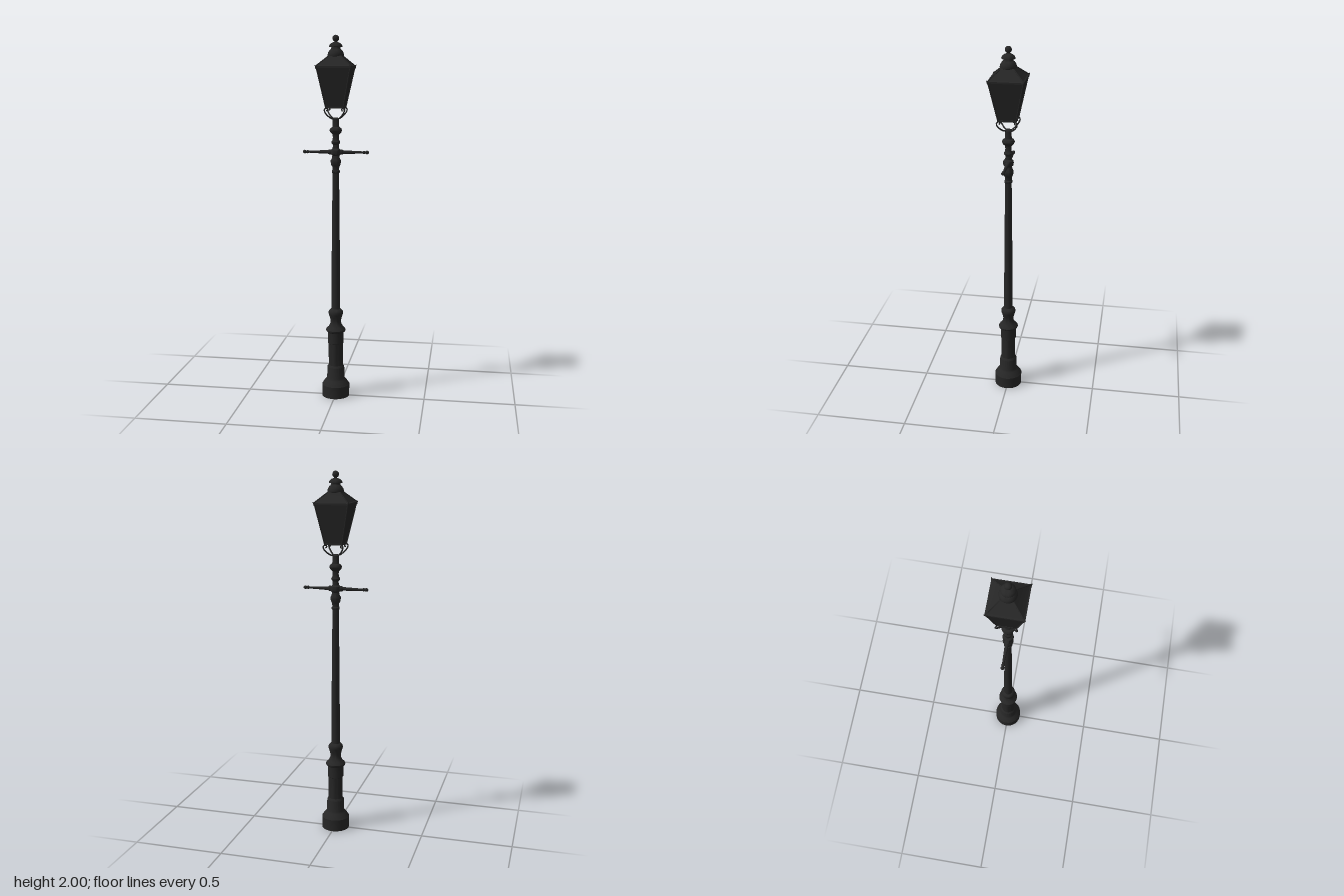
import * as THREE from 'three';
import { toCreasedNormals } from 'three/addons/utils/BufferGeometryUtils.js';

export function createModel() {
  const model = new THREE.Group();
  const iron = new THREE.MeshStandardMaterial({ color: 0x262626, side: THREE.DoubleSide });
  iron.name = 'blackIron';

  function add(name, geometry, parent = model) {
    const mesh = new THREE.Mesh(geometry, iron);
    mesh.name = name;
    parent.add(mesh);
    return mesh;
  }
  // Turned part from [radius, height] pairs
  function turned(points, segments = 24) {
    const profile = points.map(([r, y]) => new THREE.Vector2(r, y));
    return toCreasedNormals(new THREE.LatheGeometry(profile, segments), 0.6);
  }
  // Square loft from [half width, height] pairs, with flat sides
  function squareLoft(points) {
    const profile = points.map(([h, y]) => new THREE.Vector2(h * Math.SQRT2, y));
    const g = new THREE.LatheGeometry(profile, 4).rotateY(Math.PI / 4);
    return toCreasedNormals(g, 0.2);
  }
  // Straight rod between two points
  function rod(a, b, radius) {
    const path = new THREE.LineCurve3(new THREE.Vector3(...a), new THREE.Vector3(...b));
    return new THREE.TubeGeometry(path, 1, radius, 6);
  }

  // Column
  add('base', turned([[0.066, 0], [0.077, 0], [0.077, 0.066], [0.071, 0.074], [0.065, 0.084],
    [0.055, 0.094], [0.049, 0.104], [0.048, 0.168], [0.041, 0.178], [0.04, 0.18]]));
  add('baseInside', turned([[0, 0.05], [0.064, 0.05], [0.066, 0]]));
  add('pedestal', turned([[0.04, 0.18], [0.04, 0.305], [0.044, 0.308], [0.044, 0.37],
    [0.053, 0.377], [0.055, 0.385], [0.05, 0.393], [0.04, 0.402], [0.031, 0.42],
    [0.029, 0.435], [0.033, 0.455], [0.039, 0.472], [0.041, 0.484], [0.038, 0.494],
    [0.03, 0.502], [0.025, 0.505]]));
  add('shaft', turned([[0.025, 0.5], [0.023, 0.8], [0.018, 1.27]], 12));
  add('neck', turned([[0.018, 1.265], [0.022, 1.27], [0.022, 1.278], [0.018, 1.283],
    [0.019, 1.3], [0.025, 1.31], [0.028, 1.325], [0.028, 1.335], [0.022, 1.345],
    [0.019, 1.36], [0.027, 1.368], [0.029, 1.38], [0.027, 1.392], [0.017, 1.4],
    [0.016, 1.42], [0.023, 1.428], [0.024, 1.435], [0.018, 1.445], [0.016, 1.46],
    [0.018, 1.475], [0.03, 1.487], [0.034, 1.498], [0.03, 1.508], [0.019, 1.515],
    [0.017, 1.53], [0.017, 1.558], [0.012, 1.565], [0, 1.565]]));

  // Ladder rest, mirrored left and right
  for (const side of [-1, 1]) {
    const arm = add(side > 0 ? 'leftLadderArm' : 'rightLadderArm', turned([[0.014, 0.02],
      [0.014, 0.036], [0.01, 0.042], [0.009, 0.07], [0.006, 0.148], [0.009, 0.152],
      [0.009, 0.157], [0.006, 0.161], [0.009, 0.165], [0.01, 0.171], [0.007, 0.178],
      [0, 0.181]], 12));
    arm.rotation.z = -side * Math.PI / 2;
    arm.position.y = 1.38;
  }

  // Lantern body and hipped roof
  const lantern = new THREE.Group();
  lantern.name = 'lantern';
  model.add(lantern);
  add('lanternPanes', squareLoft([[0.047, 1.625], [0.09, 1.832]]), lantern);
  add('lanternFloor', squareLoft([[0, 1.628], [0.046, 1.628]]), lantern);
  add('roof', squareLoft([[0.088, 1.828], [0.094, 1.828], [0.094, 1.837], [0.087, 1.84],
    [0.06, 1.864], [0.034, 1.892]]), lantern);

  // Frame rails, corner bars, corner spikes and scroll brackets
  for (let i = 0; i < 4; i++) {
    const corner = new THREE.Group();
    corner.name = 'lanternCorner' + (i + 1);
    corner.rotation.y = i * Math.PI / 2;
    lantern.add(corner);
    add('bottomRail', new THREE.BoxGeometry(0.1, 0.01, 0.007).translate(0, 1.622, 0.046), corner);
    add('cornerBar', rod([0.047, 1.62, 0.047], [0.09, 1.832, 0.09], 0.0035), corner);
    add('roofRib', rod([0.091, 1.839, 0.091], [0.035, 1.889, 0.035], 0.003), corner);
    const spike = add('cornerSpike', new THREE.ConeGeometry(0.007, 0.024, 8), corner);
    spike.position.set(0.093, 1.836, 0.093);
    spike.quaternion.setFromUnitVectors(new THREE.Vector3(0, 1, 0),
      new THREE.Vector3(0.4, 0.8, 0.4).normalize());
    const scroll = [[0.01, 1.557], [0.03, 1.562], [0.055, 1.578], [0.073, 1.597],
      [0.075, 1.61], [0.066, 1.617], [0.056, 1.613], [0.055, 1.605], [0.061, 1.603]];
    const path = new THREE.CatmullRomCurve3(scroll.map(([r, y]) =>
      new THREE.Vector3(r * Math.SQRT1_2, y, r * Math.SQRT1_2)));
    add('scrollBracket', new THREE.TubeGeometry(path, 32, 0.004, 6), corner);
  }

  // Vent cap and ball finial
  add('ventCap', turned([[0.036, 1.886], [0.043, 1.89], [0.044, 1.897], [0.041, 1.908],
    [0.034, 1.92], [0.026, 1.927], [0.024, 1.936], [0.036, 1.937], [0.036, 1.942],
    [0.03, 1.952], [0.018, 1.96], [0.008, 1.963], [0.008, 1.97]]), lantern);
  add('ballFinial', new THREE.SphereGeometry(0.018, 20, 14).translate(0, 1.982, 0), lantern);

  return model;
}
